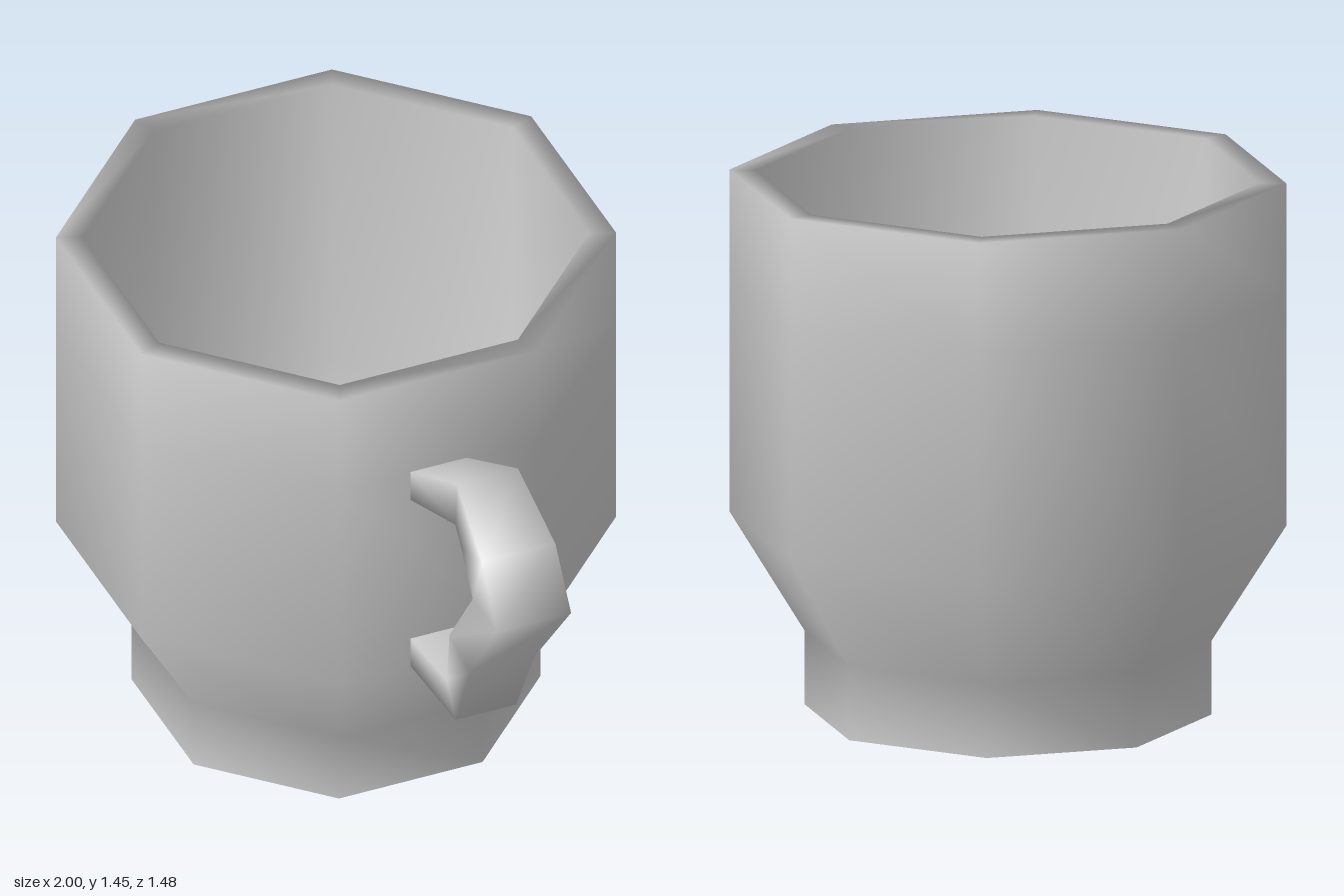
import * as THREE from 'three';

const material = new THREE.MeshStandardMaterial({ color: 0xcccccc });

// Eight-sided cup wall, revolved from a [radius, y] profile with smooth normals
function lathe(name, profile) {
  const points = profile.map(([r, y]) => new THREE.Vector2(r, y));
  const mesh = new THREE.Mesh(new THREE.LatheGeometry(points, 8), material);
  mesh.name = name;
  return mesh;
}

// Four-cornered handle swept through sections:
// [outer radius, outer y, inner radius, inner y, half width]
function handleGeometry(sections) {
  const positions = [];
  const index = [];
  for (const [ox, oy, ix, iy, w] of sections) {
    positions.push(ox, oy, w, ox, oy, -w, ix, iy, -w, ix, iy, w);
  }
  for (let s = 0; s < sections.length - 1; s++) {
    for (let k = 0; k < 4; k++) {
      const a = s * 4 + k;
      const b = s * 4 + (k + 1) % 4;
      index.push(a, a + 4, b, b, a + 4, b + 4);
    }
  }
  const geometry = new THREE.BufferGeometry();
  geometry.setAttribute('position', new THREE.Float32BufferAttribute(positions, 3));
  geometry.setIndex(index);
  geometry.computeVertexNormals();
  return geometry;
}

export function createModel() {
  const mug = new THREE.Group();
  mug.name = 'mug';
  mug.position.x = -0.26;

  // Outside, rolling over the rim and down the inside
  mug.add(lathe('base', [[0, 0], [0.54, 0]]));
  mug.add(lathe('body', [
    [0.54, 0], [0.54, 0.2], [0.74, 0.52], [0.74, 1.15], [0.74, 1.45],
    [0.67, 1.45], [0.67, 0.55], [0.47, 0.23], [0.47, 0.07],
  ]));
  mug.add(lathe('insideFloor', [[0.47, 0.07], [0, 0.07]]));

  // Handle, centred on one flat side of the octagon
  const handle = new THREE.Mesh(handleGeometry([
    [0.67, 1.15, 0.67, 1.06, 0.08],
    [1.01, 1.34, 1.0, 1.2, 0.088],
    [1.22, 1.23, 1.08, 1.18, 0.105],
    [1.32, 1.07, 1.16, 1.07, 0.107],
    [1.11, 0.79, 0.97, 0.82, 0.092],
    [1.0, 0.56, 0.94, 0.65, 0.087],
    [0.67, 0.52, 0.67, 0.61, 0.08],
  ]), material);
  handle.name = 'handle';
  handle.rotation.y = -Math.PI / 8;
  mug.add(handle);

  const model = new THREE.Group();
  model.add(mug);
  return model;
}
